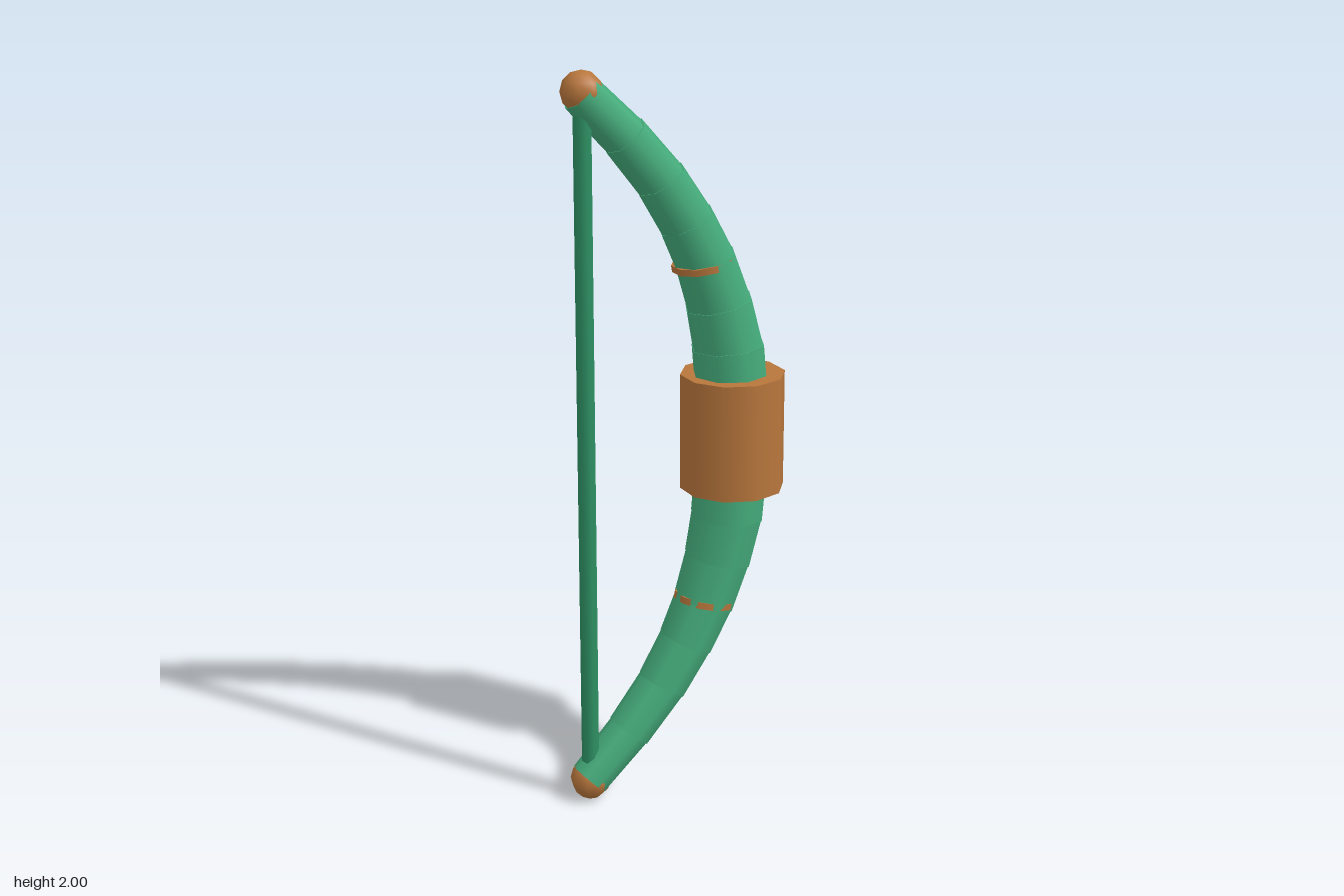
import * as THREE from 'three';

export function createModel() {
  const bow = new THREE.Group();
  bow.name = 'bow';
  const mat = (name, color) => {
    const m = new THREE.MeshStandardMaterial({ color });
    m.name = name;
    return m;
  };
  const green = mat('limb green', 0x45ad7c);
  const darkGreen = mat('string green', 0x2d9063);
  const wood = mat('wood brown', 0xb8763c);

  const add = (name, geo, material, x, y, tilt = 0, parent = bow) => {
    const mesh = new THREE.Mesh(geo, material);
    mesh.name = name;
    mesh.position.set(x, y, 0);
    mesh.rotation.z = tilt;
    parent.add(mesh);
    return mesh;
  };

  // Grip and string
  add('grip', new THREE.CylinderGeometry(0.142, 0.142, 0.32, 10), wood, 0.173, 1.003);
  add('string', new THREE.CylinderGeometry(0.025, 0.025, 1.88, 8), darkGreen, -0.257, 1);

  // Limb centreline joints: x, distance from the middle, radius
  const joints = [
    [0.172, 0.08, 0.102], [0.158, 0.235, 0.099], [0.131, 0.355, 0.091],
    [0.09, 0.475, 0.083], [0.036, 0.585, 0.075], [-0.037, 0.7, 0.068],
    [-0.137, 0.82, 0.061], [-0.257, 0.94, 0.053],
  ];

  for (const side of [1, -1]) {
    const limb = new THREE.Group();
    limb.name = side > 0 ? 'upperLimb' : 'lowerLimb';
    bow.add(limb);

    // Overlapping tapered segments, each stepping in a little at its joint
    for (let i = 0; i < joints.length - 1; i++) {
      const [x0, d0, r0] = joints[i];
      const [x1, d1, r1] = joints[i + 1];
      const dx = x1 - x0, dy = (d1 - d0) * side;
      const near = r0, far = r1 + 0.002;
      const geo = new THREE.CylinderGeometry(
        side > 0 ? far : near, side > 0 ? near : far, Math.hypot(dx, dy) + 0.014, 8);
      // One facet corner faces straight out from the bow
      add('limbSegment', geo, green, (x0 + x1) / 2, 1 + side * (d0 + d1) / 2,
        Math.atan2(-dx * side, dy * side), limb);
    }

    // Thin binding around the limb
    add('binding', new THREE.CylinderGeometry(0.084, 0.084, 0.018, 10), wood,
      side > 0 ? 0.083 : 0.09, 1 + side * 0.473, side > 0 ? 0.17 : -0.22, limb);

    // Rounded tip
    const tip = add('tip', new THREE.SphereGeometry(0.056, 8, 6), wood, -0.257, 1 + side * 0.944, 0, limb);
    tip.rotation.y = 0.2;
  }
  return bow;
}
